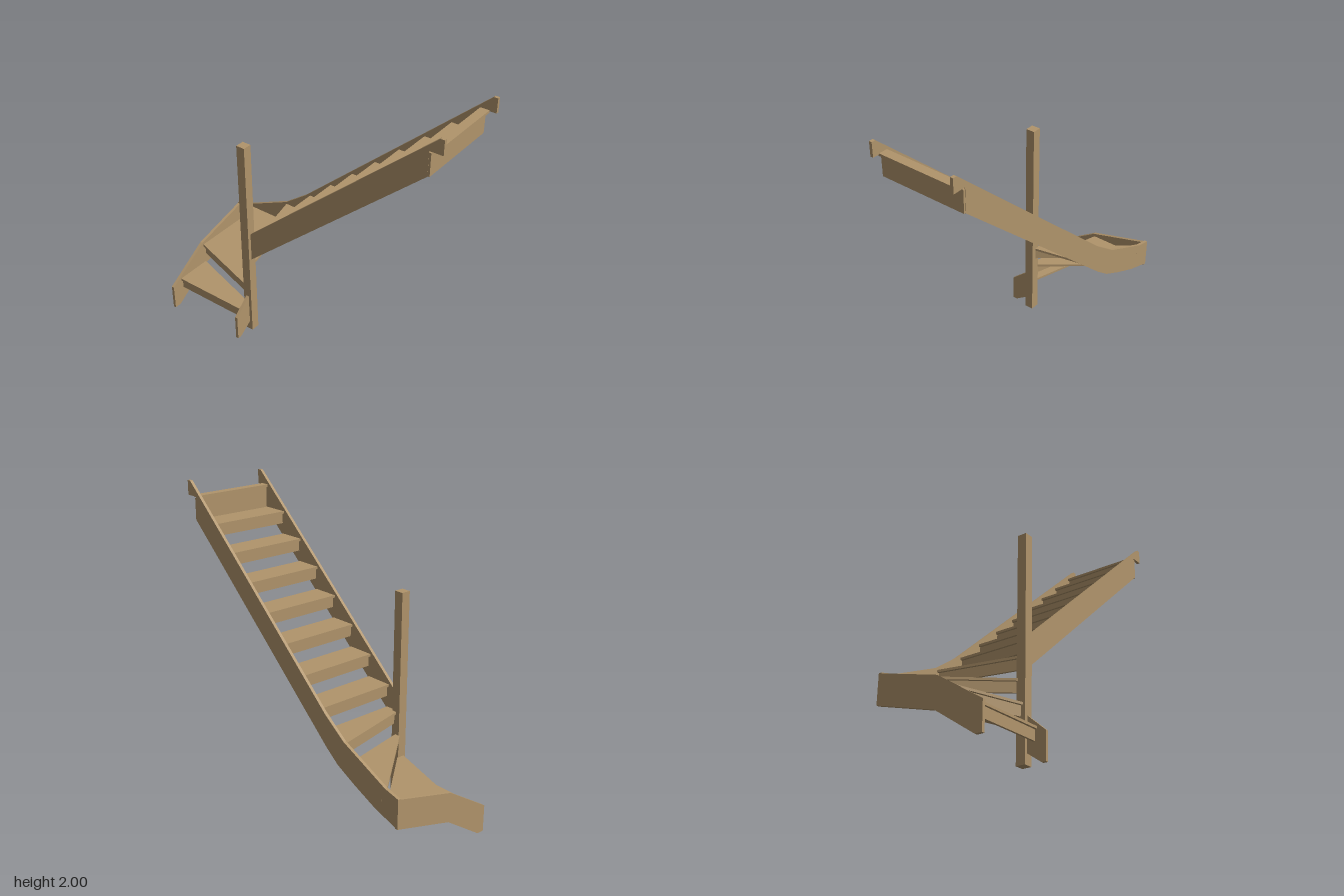
import * as THREE from 'three';

const wood = new THREE.MeshStandardMaterial({ color: 0xb0946b });
wood.name = 'wood';

const toShape = (points) => new THREE.Shape(points.map(([a, b]) => new THREE.Vector2(a, b)));
const extrude = (points, depth) =>
  new THREE.ExtrudeGeometry(toShape(points), { depth, bevelEnabled: false });

// Horizontal slab from an (x, z) outline, between two heights
function slab(outline, bottom, top) {
  const geo = extrude(outline.map(([x, z]) => [x, -z]), top - bottom);
  return geo.rotateX(-Math.PI / 2).translate(0, bottom, 0);
}

export function createModel() {
  const stairs = new THREE.Group();
  stairs.name = 'quarterTurnStaircase';
  const add = (name, geo) => {
    const mesh = new THREE.Mesh(geo, wood);
    mesh.name = name;
    stairs.add(mesh);
  };

  const RISE = 0.1545, GOING = 0.172, FIRST = 0.212, THICK = 0.016, LIP = 0.068;
  const OUT = -0.362, IN = 0.192, LEFT = -0.968;

  // Winder outlines: the first two corners are the nosing, outer end to inner end
  const treads = [
    [[LEFT, 0.3], [-0.415, 0.3], [-0.415, 0.21], [LEFT, 0.042]],
    [[LEFT, 0.052], [-0.42, 0.222], [-0.405, 0.2], [-0.87, OUT], [LEFT, OUT]],
    [[-0.88, OUT], [-0.42, 0.2], [-0.4, 0.2], [-0.52, OUT]],
    [[-0.53, OUT], [-0.405, 0.19], [-0.31, IN], [-0.31, OUT]],
  ];
  // Straight flight
  for (let i = 0; i < 8; i++) {
    const x = -0.32 + i * GOING;
    const end = i === 7 ? 0.943 : x + GOING + 0.01;
    treads.push([[x, OUT], [x, IN], [end, IN], [end, OUT]]);
  }

  // Treads, each with a shallow riser lip set back behind its nosing
  treads.forEach((outline, i) => {
    const top = FIRST + i * RISE;
    add('tread', slab(outline, top - THICK, top));
    const a = new THREE.Vector2(...outline[0]);
    const b = new THREE.Vector2(...outline[1]);
    const d = b.clone().sub(a).normalize();
    const at = (p, inset) => [p.x + d.y * inset, p.y - d.x * inset];
    const last = i === treads.length - 1;
    if (last) {
      // Full riser closing the top of the flight
      add('topRiser', slab([[0.9, -0.378], [0.9, 0.206], [0.913, 0.206], [0.913, -0.378]], 1.748, top - THICK));
    } else {
      const lip = [at(a, 0.015), at(b, 0.015), at(b, 0.029), at(a, 0.029)];
      add('riserLip', slab(lip, top - THICK - LIP, top - THICK));
    }
  });

  // Newel post
  add('newelPost', new THREE.BoxGeometry(0.062, 1.465, 0.062).translate(-0.406, 0.7325, 0.2));

  // Sloping stringers share the notched upper end
  const upperEnd = [[0.9, 1.745], [0.9, 1.905], [0.987, 1.905], [0.987, 2], [0.96, 2]];
  const inner = [[-0.376, 0.6], ...upperEnd, [-0.376, 0.805]];
  add('innerStringer', extrude(inner, 0.02).translate(0, 0, 0.187));

  const outer = [
    [-0.988, 0.31], [-0.8, 0.37], [-0.62, 0.45], [-0.48, 0.52], [-0.376, 0.6],
    ...upperEnd,
    [-0.36, 0.815], [-0.53, 0.69], [-0.88, 0.53], [-0.988, 0.503],
  ];
  add('outerStringer', extrude(outer, 0.02).translate(0, 0, -0.38));

  // Lower stringers, outlined in (z, y)
  const sideStringer = (name, outline, x) =>
    add(name, extrude(outline, 0.02).rotateY(-Math.PI / 2).translate(x, 0, 0));
  sideStringer('lowerOuterStringer', [
    [0.378, 0], [0.378, 0.18], [0.06, 0.385], [-0.38, 0.503], [-0.38, 0.31], [0.05, 0.19], [0.33, 0],
  ], -0.968);
  sideStringer('lowerInnerStringer', [
    [0.358, 0], [0.358, 0.18], [0.228, 0.293], [0.228, 0.07], [0.328, 0],
  ], -0.396);

  return stairs;
}
